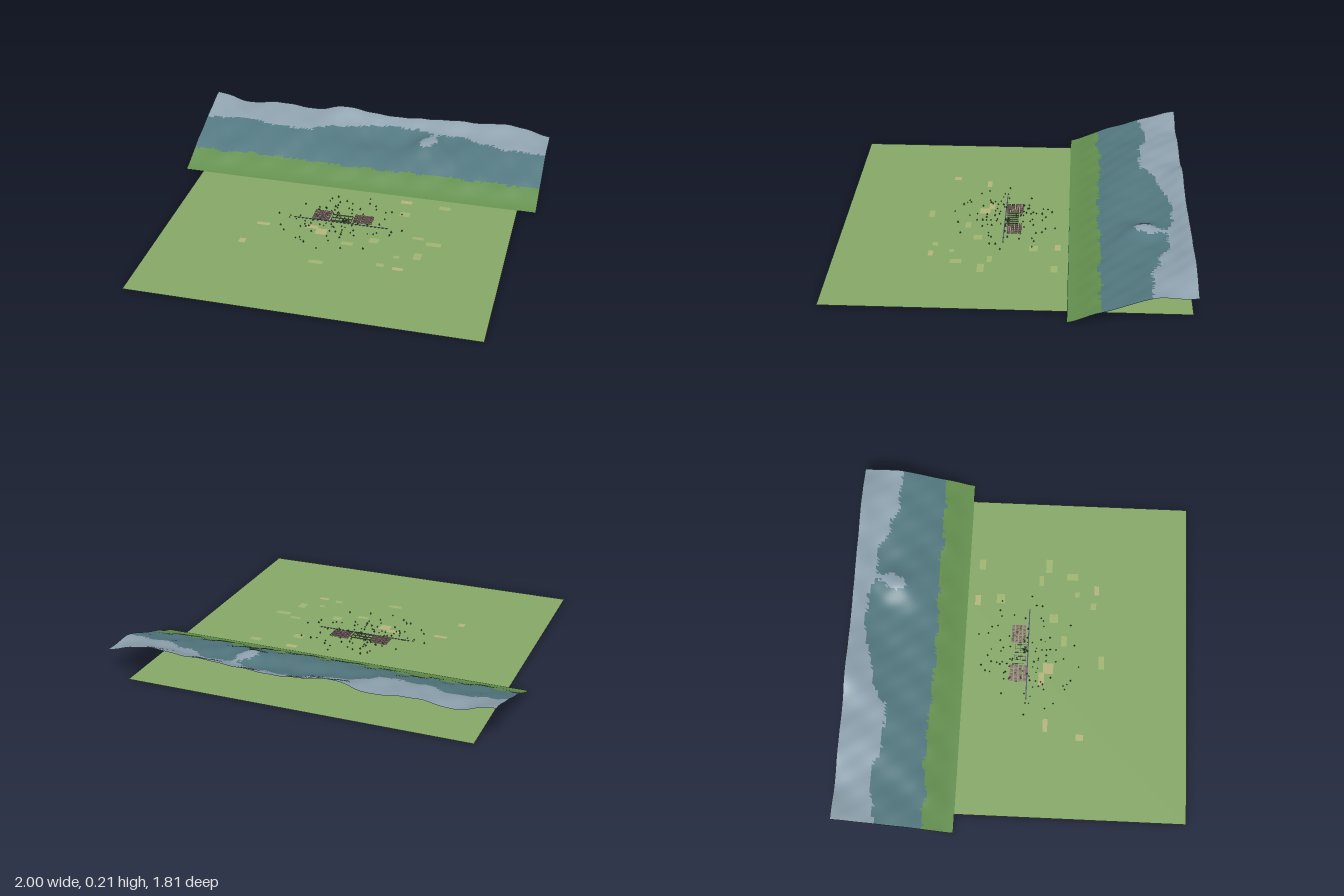
import * as THREE from 'three';
import { mergeGeometries } from 'three/addons/utils/BufferGeometryUtils.js';

// Small seeded generator for scattered things
function seeded(seed) {
  return () => (seed = (seed * 16807) % 2147483647) / 2147483647;
}

function addMesh(parent, name, geometry, color, double = false) {
  const material = new THREE.MeshStandardMaterial({ color });
  if (double) material.side = THREE.DoubleSide;
  const mesh = new THREE.Mesh(geometry, material);
  mesh.name = name;
  parent.add(mesh);
  return mesh;
}

function flat(w, d, x, y, z) {
  return new THREE.PlaneGeometry(w, d).rotateX(-Math.PI / 2).translate(x, y, z);
}

function box(w, h, d, x, y, z) {
  return new THREE.BoxGeometry(w, h, d).translate(x, y + h / 2, z);
}

// Ridge heights: rows run from the foot to the crest, columns from x = -1 to 1
const ROW_Z = [-0.3, -0.46, -0.58, -0.7, -0.8, -0.91];
const ROW_Y = [
  [0.004, 0.004, 0.004, 0.004, 0.004, 0.004, 0.004, 0.004, 0.004, 0.004, 0.004],
  [0.064, 0.066, 0.062, 0.063, 0.067, 0.068, 0.067, 0.064, 0.067, 0.065, 0.064],
  [0.110, 0.100, 0.110, 0.110, 0.105, 0.100, 0.098, 0.112, 0.104, 0.104, 0.105],
  [0.149, 0.136, 0.146, 0.147, 0.124, 0.107, 0.106, 0.118, 0.135, 0.143, 0.146],
  [0.178, 0.157, 0.168, 0.160, 0.156, 0.138, 0.132, 0.142, 0.152, 0.165, 0.152],
  [0.208, 0.165, 0.185, 0.167, 0.203, 0.177, 0.176, 0.188, 0.193, 0.200, 0.152],
];

function cubic(a, b, c, d, t) {
  return b + 0.5 * t * (c - a + t * (2 * a - 5 * b + 4 * c - d + t * (3 * (b - c) + d - a)));
}

function sample(values, f) {
  const n = values.length - 1;
  const i = Math.min(Math.floor(f), n - 1);
  const at = (k) => values[Math.max(0, Math.min(n, k))];
  return cubic(at(i - 1), at(i), at(i + 1), at(i + 2), f - i);
}

function ridgeHeight(x, z) {
  let r = 0;
  while (r < ROW_Z.length - 2 && z < ROW_Z[r + 1]) r++;
  const f = r + (z - ROW_Z[r]) / (ROW_Z[r + 1] - ROW_Z[r]);
  const column = ROW_Y.map((row) => sample(row, (x + 1) * 5));
  const rise = Math.min(1, (-0.3 - z) / 0.15);
  const knoll = 0.042 * Math.exp(-((x - 0.32) ** 2 + (z + 0.68) ** 2) / 0.008);
  const ripple = 0.002 * Math.sin(x * 27 + z * 19) + 0.0015 * Math.sin(x * 49 - z * 37);
  return sample(column, f) + knoll + rise * ripple;
}

// Mountain sheet, its faces sorted into three height bands
function buildMountains() {
  const group = new THREE.Group();
  group.name = 'mountains';
  const sheet = flat(2, 0.61, 0, 0, -0.605);
  const grid = new THREE.PlaneGeometry(2, 0.61, 110, 34).rotateX(-Math.PI / 2).translate(0, 0, -0.605);
  sheet.dispose();
  const pos = grid.attributes.position;
  for (let i = 0; i < pos.count; i++) pos.setY(i, Math.max(0.001, ridgeHeight(pos.getX(i), pos.getZ(i))));
  grid.computeVertexNormals();
  const bands = [[], [], []];
  const index = grid.index.array;
  const rand = seeded(17);
  for (let i = 0; i < index.length; i += 3) {
    const tri = [index[i], index[i + 1], index[i + 2]];
    const y = tri.reduce((sum, k) => sum + pos.getY(k) / 3, 0) + (rand() - 0.5) * 0.003;
    bands[y < 0.065 ? 0 : y < 0.145 ? 1 : 2].push(...tri);
  }
  const names = ['grassSlope', 'forestSlope', 'rockyCrest'];
  const colors = [0x64904f, 0x537880, 0x8ea2ae];
  bands.forEach((faces, b) => {
    const geometry = new THREE.BufferGeometry();
    geometry.setAttribute('position', pos);
    geometry.setAttribute('normal', grid.attributes.normal);
    geometry.setIndex(faces);
    addMesh(group, names[b], geometry, colors[b], true);
  });
  return group;
}

// Field patches: x, z, width, depth
const TAN_FIELDS = [
  [-0.40, 0.15, 0.07, 0.025], [-0.08, 0.155, 0.06, 0.055], [-0.14, 0.12, 0.07, 0.03],
  [-0.46, 0.335, 0.035, 0.04], [0.385, 0.405, 0.055, 0.025], [0.30, -0.245, 0.06, 0.03],
];
const GREEN_FIELDS = [
  [0.515, -0.23, 0.06, 0.035], [0.315, -0.12, 0.055, 0.045], [0.08, 0.235, 0.06, 0.03],
  [0.21, 0.175, 0.05, 0.045], [0.43, 0.10, 0.06, 0.025], [0.52, 0.14, 0.08, 0.035],
  [0.46, 0.27, 0.04, 0.06], [0.355, 0.30, 0.03, 0.025], [0.29, 0.39, 0.04, 0.03],
  [-0.035, 0.44, 0.075, 0.03],
];

// Tiny house blocks, a fenced garden and the road
function buildVillage() {
  const group = new THREE.Group();
  group.name = 'village';
  const walls = [], roofs = [], fences = [];
  const blocks = [
    { x: -0.115, z: -0.006, cols: 4, rows: 4, dx: 0.024, dz: 0.024 },
    { x: 0.111, z: -0.012, cols: 5, rows: 4, dx: 0.021, dz: 0.02 },
  ];
  for (const b of blocks) {
    for (let i = 0; i < b.cols; i++) {
      for (let j = 0; j < b.rows; j++) {
        const x = b.x + (i - (b.cols - 1) / 2) * b.dx;
        const z = b.z + (j - (b.rows - 1) / 2) * b.dz;
        walls.push(box(b.dx * 0.75, 0.005, b.dz * 0.65, x, 0, z));
        roofs.push(new THREE.CylinderGeometry(0, 0.7071, 1, 4).rotateY(Math.PI / 4)
          .scale(b.dx * 0.85, 0.004, b.dz * 0.75).translate(x, 0.007, z));
      }
    }
  }
  for (let i = 0; i <= 5; i++) fences.push(box(0.0015, 0.003, 0.06, -0.06 + i * 0.022, 0, 0.002));
  for (let j = 0; j <= 2; j++) fences.push(box(0.11, 0.003, 0.0015, -0.005, 0, -0.028 + j * 0.03));
  addMesh(group, 'houseWalls', mergeGeometries(walls), 0xc4aeb0);
  addMesh(group, 'houseRoofs', mergeGeometries(roofs), 0x8c6a70);
  addMesh(group, 'gardenFences', mergeGeometries(fences), 0x5c5f50);
  addMesh(group, 'road', box(0.52, 0.0015, 0.006, 0, 0, 0.042), 0x55556a);
  return group;
}

// Trees scattered around the village, denser near the garden
function buildTrees() {
  const rand = seeded(91);
  const crowns = [], trunks = [];
  for (let i = 0; i < 110; i++) {
    const near = i < 14;
    const angle = rand() * Math.PI * 2;
    const radius = near ? rand() * 0.018 : 0.06 + rand() * 0.29;
    const x = (near ? 0.02 : 0) + Math.cos(angle) * radius;
    const z = (near ? 0.025 : 0.03) + Math.sin(angle) * radius * 0.85;
    const s = 0.7 + rand() * 0.5;
    trunks.push(new THREE.CylinderGeometry(0.0008, 0.0008, 0.003 * s, 5).translate(x, 0.0015 * s, z));
    crowns.push(new THREE.ConeGeometry(0.0038 * s, 0.008 * s, 6).translate(x, 0.007 * s, z));
  }
  const group = new THREE.Group();
  group.name = 'trees';
  addMesh(group, 'treeTrunks', mergeGeometries(trunks), 0x5d4634);
  addMesh(group, 'treeCrowns', mergeGeometries(crowns), 0x3a5f38).material.flatShading = true;
  return group;
}

export function createModel() {
  const model = new THREE.Group();
  model.name = 'valleyLandscape';
  addMesh(model, 'ground', flat(1.8, 1.8, 0, 0, 0), 0x86a868, true);
  const patches = (list) => mergeGeometries(list.map(([x, z, w, d]) => flat(w, d, x, 0.001, z)));
  addMesh(model, 'tanFields', patches(TAN_FIELDS), 0xb5b47c);
  addMesh(model, 'greenFields', patches(GREEN_FIELDS), 0x9fb571);
  model.add(buildMountains(), buildVillage(), buildTrees());
  return model;
}
